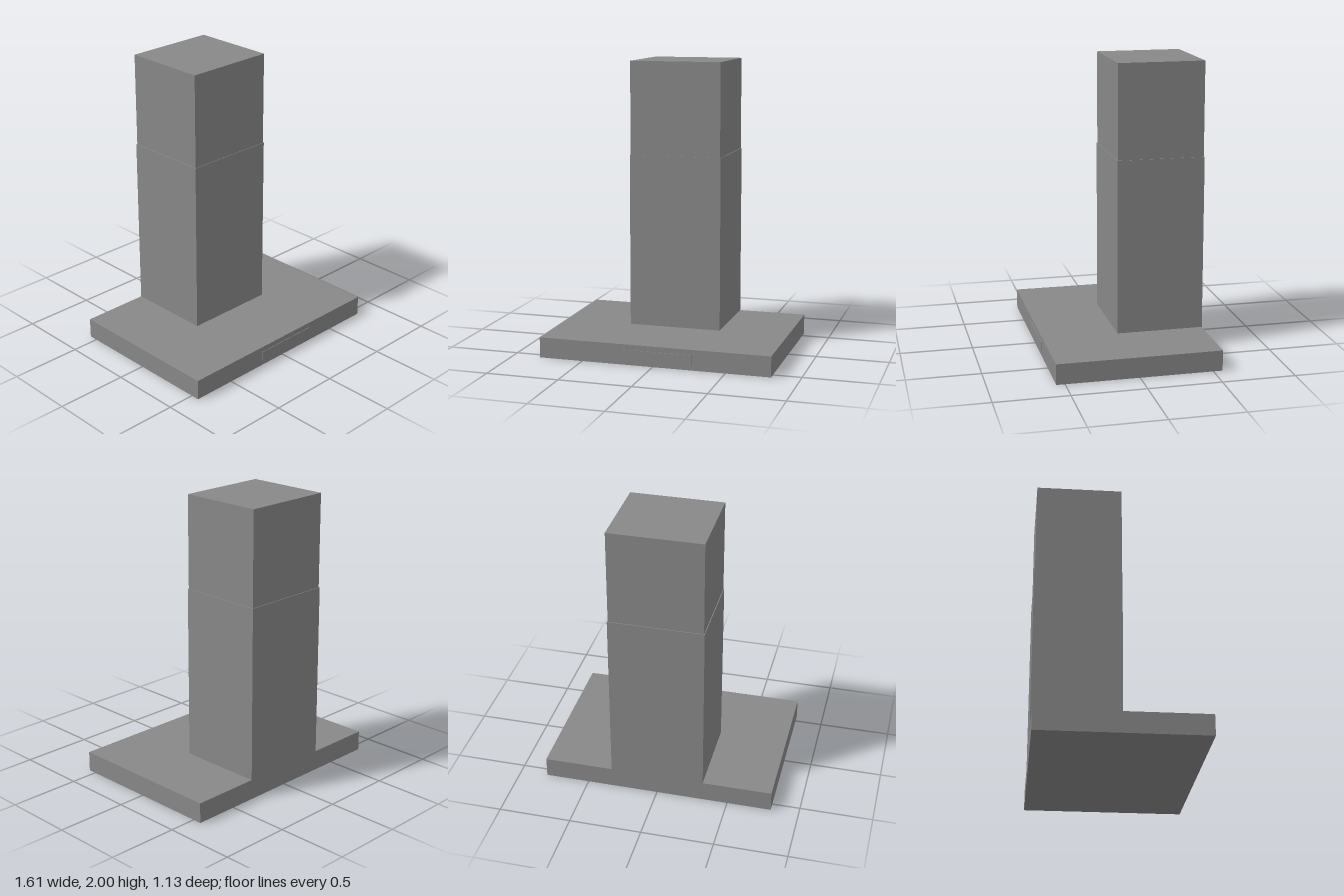
import * as THREE from 'three';

export function createModel() {
  const model = new THREE.Group();
  const grey = new THREE.MeshStandardMaterial({ color: 0x888888 });
  grey.name = 'grey';

  // Box given by its min and max on each axis
  function block(name, [x0, x1], [y0, y1], [z0, z1]) {
    const mesh = new THREE.Mesh(new THREE.BoxGeometry(x1 - x0, y1 - y0, z1 - z0), grey);
    mesh.name = name;
    mesh.position.set((x0 + x1) / 2, (y0 + y1) / 2, (z0 + z1) / 2);
    model.add(mesh);
  }

  // Podium with a thin sign plate on its front edge
  block('podium', [-0.807, 0.807], [0, 0.141], [-0.563, 0.559]);
  block('signPlate', [-0.203, 0.273], [0.035, 0.104], [0.558, 0.563]);

  // Tower, slightly stepped in at the upper section
  block('lowerTower', [-0.326, 0.326], [0.141, 1.35], [-0.563, 0.04]);
  block('upperTower', [-0.321, 0.321], [1.35, 2], [-0.558, 0.036]);

  return model;
}
